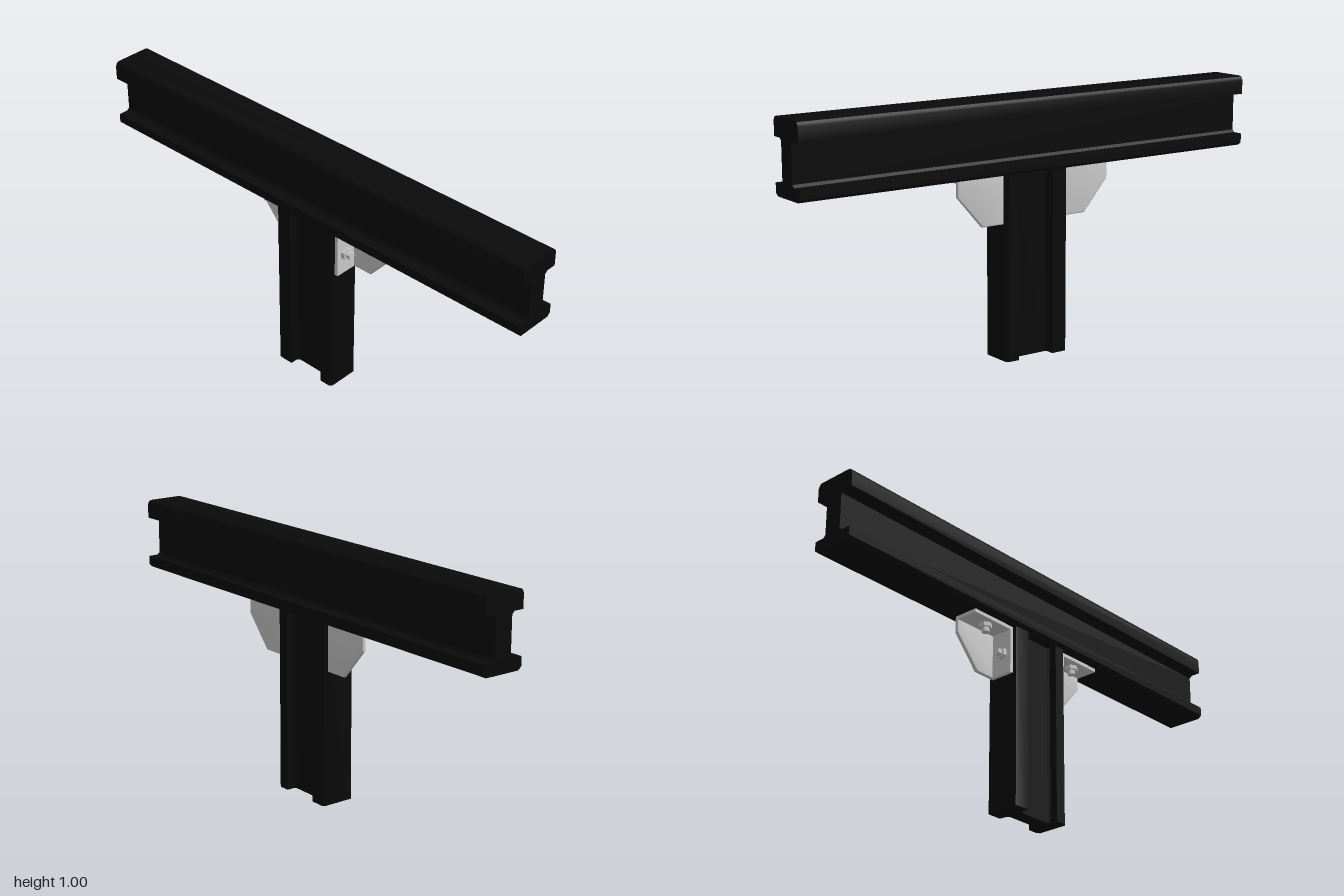
import * as THREE from 'three';
import { toCreasedNormals } from 'three/addons/utils/BufferGeometryUtils.js';

const black = new THREE.MeshStandardMaterial({ color: 0x0a0a0a });
const grey = new THREE.MeshStandardMaterial({ color: 0xcccccc });

function add(parent, name, geometry, material, x = 0, y = 0, z = 0) {
  const mesh = new THREE.Mesh(geometry, material);
  mesh.name = name;
  mesh.position.set(x, y, z);
  parent.add(mesh);
  return mesh;
}

// I-shaped section: half outline from bottom to top, mirrored across its axis
function railGeometry(half, length) {
  const right = half.map(([u, v]) => new THREE.Vector2(u, v));
  const left = half.map(([u, v]) => new THREE.Vector2(-u, v)).reverse();
  const geometry = new THREE.ExtrudeGeometry(new THREE.Shape([...right, ...left]), {
    depth: length, bevelEnabled: false,
  });
  geometry.translate(0, 0, -length / 2);
  return toCreasedNormals(geometry, 0.5);
}

// Hex head with a smaller hex tip, growing along local +y
function makeBolt() {
  const bolt = new THREE.Group();
  bolt.name = 'bolt';
  add(bolt, 'boltHead', new THREE.CylinderGeometry(0.025, 0.025, 0.016, 6).toNonIndexed(), grey, 0, 0.008);
  add(bolt, 'boltTip', new THREE.CylinderGeometry(0.016, 0.016, 0.018, 6).toNonIndexed(), grey, 0, 0.025);
  bolt.traverse((o) => o.geometry && o.geometry.computeVertexNormals());
  return bolt;
}

// Corner bracket: two bolted plates joined by a clipped gusset at the back
function makeBracket(side) {
  const bracket = new THREE.Group();
  bracket.name = side > 0 ? 'leftBracket' : 'rightBracket';
  const inner = 0.139, outer = 0.342, top = 0.716, bottom = 0.527, t = 0.014;
  const front = 0.055, back = -0.043, depth = front - back, midZ = (front + back) / 2;

  add(bracket, 'topPlate', new THREE.BoxGeometry(outer - inner, t, depth), grey,
    side * (inner + outer) / 2, top - t / 2, midZ);
  add(bracket, 'sidePlate', new THREE.BoxGeometry(t, top - bottom, depth), grey,
    side * (inner + t / 2), (top + bottom) / 2, midZ);

  const b = 0.006;
  const outline = [
    [inner + b, top - b], [inner + b, bottom + b], [0.232, bottom + b],
    [outer - b, 0.652], [outer - b, top - b],
  ].map(([x, y]) => new THREE.Vector2(side * x, y));
  const gusset = new THREE.ExtrudeGeometry(new THREE.Shape(outline), {
    depth: 0.004, bevelThickness: b, bevelSize: b, bevelSegments: 3,
  });
  add(bracket, 'gusset', toCreasedNormals(gusset, 0.6), grey, 0, 0, -0.044);

  const topBolt = makeBolt();
  topBolt.rotation.x = Math.PI;
  topBolt.position.set(side * 0.245, top - t, 0.014);
  const sideBolt = makeBolt();
  sideBolt.rotation.z = -side * Math.PI / 2;
  sideBolt.rotation.y = Math.PI / 2;
  sideBolt.rotation.order = 'ZYX';
  sideBolt.position.set(side * (inner + t), 0.612, 0.014);
  bracket.add(topBolt, sideBolt);
  return bracket;
}

export function createModel() {
  const model = new THREE.Group();
  model.name = 'beamJoint';

  // Horizontal beam with a rounded top flange
  const beamHalf = [
    [0.073, 0.716], [0.086, 0.728], [0.086, 0.763], [0.046, 0.763], [0.036, 0.773],
    [0.036, 0.914], [0.046, 0.924], [0.086, 0.924], [0.086, 0.978], [0.083, 0.987],
    [0.078, 0.993], [0.07, 0.996],
  ];
  const beam = railGeometry(beamHalf, 2);
  beam.rotateY(Math.PI / 2);
  add(model, 'beam', beam, black);

  // Upright post, a narrower section of the same kind laid across x
  const postHalf = [
    [0.06, -0.139], [0.066, -0.136], [0.069, -0.129], [0.069, -0.072], [0.038, -0.072],
    [0.03, -0.064], [0.03, 0.077], [0.038, 0.085], [0.069, 0.085], [0.069, 0.129],
    [0.06, 0.139],
  ];
  const post = railGeometry(postHalf, 0.718);
  post.rotateX(Math.PI / 2);
  post.rotateY(Math.PI / 2);
  add(model, 'post', post, black, 0, 0.359, 0.003);

  for (const side of [1, -1]) model.add(makeBracket(side));
  return model;
}
